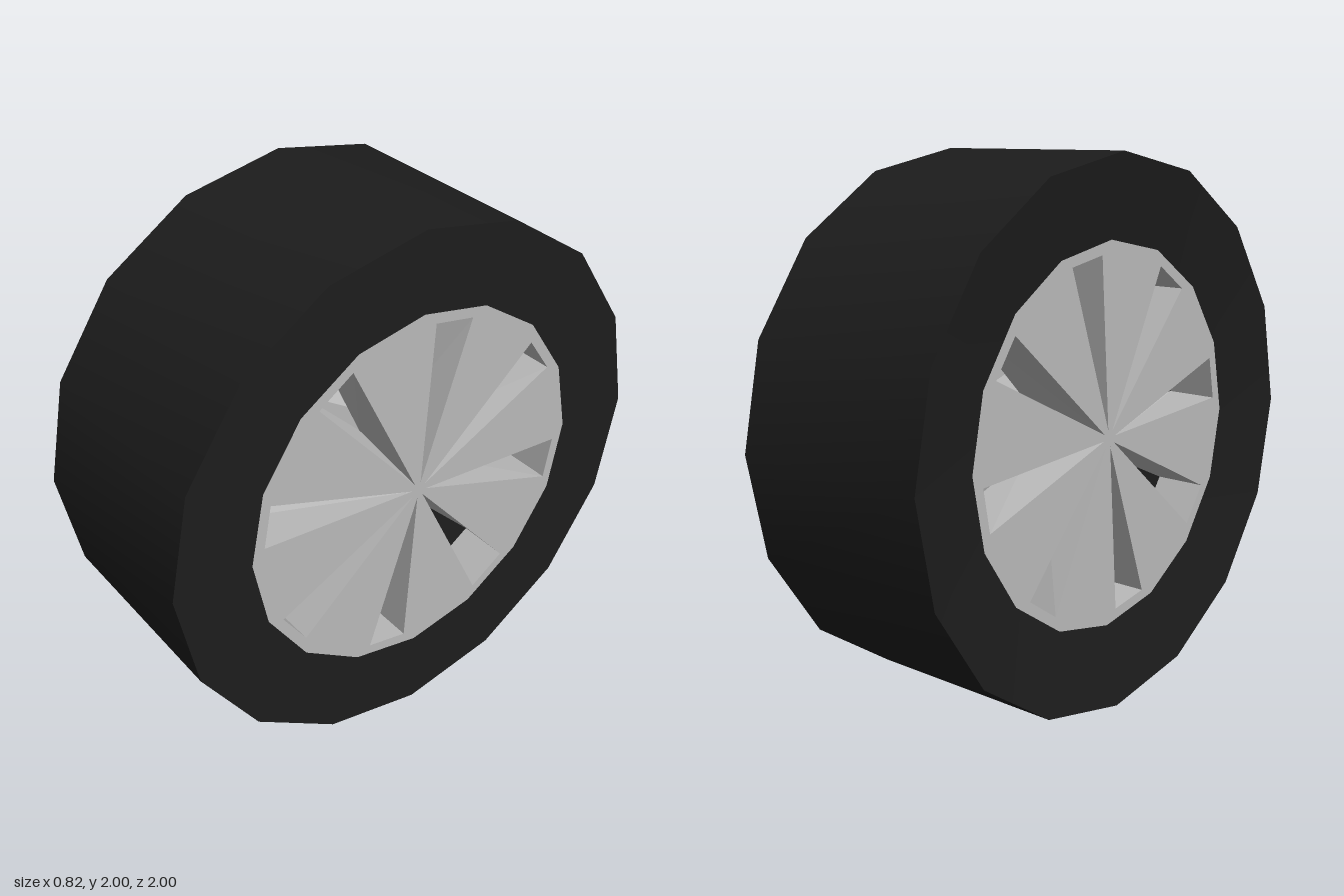
import * as THREE from 'three';
import { toCreasedNormals } from 'three/addons/utils/BufferGeometryUtils.js';

const SIDES = 16, LEFT = 0.41, RIGHT = -0.41, RIM = 0.7;
const RECESS = 0.05;  // how far the right spoke plate sits inside the tire
const DEPTH = 0.2;    // depth of the spoke walls

// One opening: triangle on the plate, and the triangle it narrows to inside
const OUTER = [[0.05, 0.65], [0.21, 0.62], [0.006, 0.03]];
const INNER = [[0.05, 0.65], [0.21, 0.62], [0.055, 0.214]];

const turned = (points, i) => points.map(([x, y]) =>
  new THREE.Vector2(x, y).rotateAround(new THREE.Vector2(), (i * Math.PI) / 4));

// Flat sixteen-sided plate with eight slanted triangular openings
function spokePlate() {
  const outline = [];
  for (let i = 0; i < SIDES; i++) {
    const a = (i / SIDES) * Math.PI * 2;
    outline.push(new THREE.Vector2(Math.cos(a) * RIM, Math.sin(a) * RIM));
  }
  const shape = new THREE.Shape(outline);
  for (let i = 0; i < 8; i++) shape.holes.push(new THREE.Path(turned(OUTER, i)));
  return new THREE.ShapeGeometry(shape).rotateY(Math.PI / 2);
}

// Walls leading inward from the edges of every opening
function spokeWalls() {
  const pos = [];
  for (let i = 0; i < 8; i++) {
    const top = turned(OUTER, i).map((p) => [0, p.y, -p.x]);
    const low = turned(INNER, i).map((p) => [-DEPTH, p.y, -p.x]);
    for (let j = 0; j < 3; j++) {
      const k = (j + 1) % 3;
      pos.push(...top[j], ...low[j], ...low[k], ...top[j], ...low[k], ...top[k]);
    }
  }
  const geo = new THREE.BufferGeometry();
  geo.setAttribute('position', new THREE.Float32BufferAttribute(pos, 3));
  geo.computeVertexNormals();
  return geo;
}

// Hollow sixteen-sided tire, its right sidewall dished in to meet the plate
function tireBody() {
  const profile = [
    [RIM, RIGHT + RECESS], [1, RIGHT], [1, LEFT], [RIM, LEFT], [RIM, RIGHT + RECESS],
  ].map(([r, x]) => new THREE.Vector2(r, -x)).reverse();
  const geo = new THREE.LatheGeometry(profile, SIDES).rotateZ(Math.PI / 2);
  return toCreasedNormals(geo, 0.6);
}

export function createModel() {
  const rubber = new THREE.MeshStandardMaterial({ color: 0x1c1c1c });
  rubber.name = 'black rubber';
  const metal = new THREE.MeshStandardMaterial({ color: 0xb8b8b8, side: THREE.DoubleSide });
  metal.name = 'grey metal';

  const wheel = new THREE.Group();
  wheel.name = 'wheel';
  const add = (name, geo, mat, parent) => {
    const mesh = new THREE.Mesh(geo, mat);
    mesh.name = name;
    parent.add(mesh);
  };

  add('tire', tireBody(), rubber, wheel);

  // A spoked face on each side, the right one mirrored and recessed
  const plate = spokePlate(), walls = spokeWalls();
  for (const [name, x, mirror] of [['leftRim', LEFT, 1], ['rightRim', RIGHT + RECESS, -1]]) {
    const rim = new THREE.Group();
    rim.name = name;
    rim.position.x = x;
    rim.scale.x = mirror;
    add('spokePlate', plate, metal, rim);
    add('spokeWalls', walls, metal, rim);
    wheel.add(rim);
  }

  wheel.position.y = 1;
  return wheel;
}
